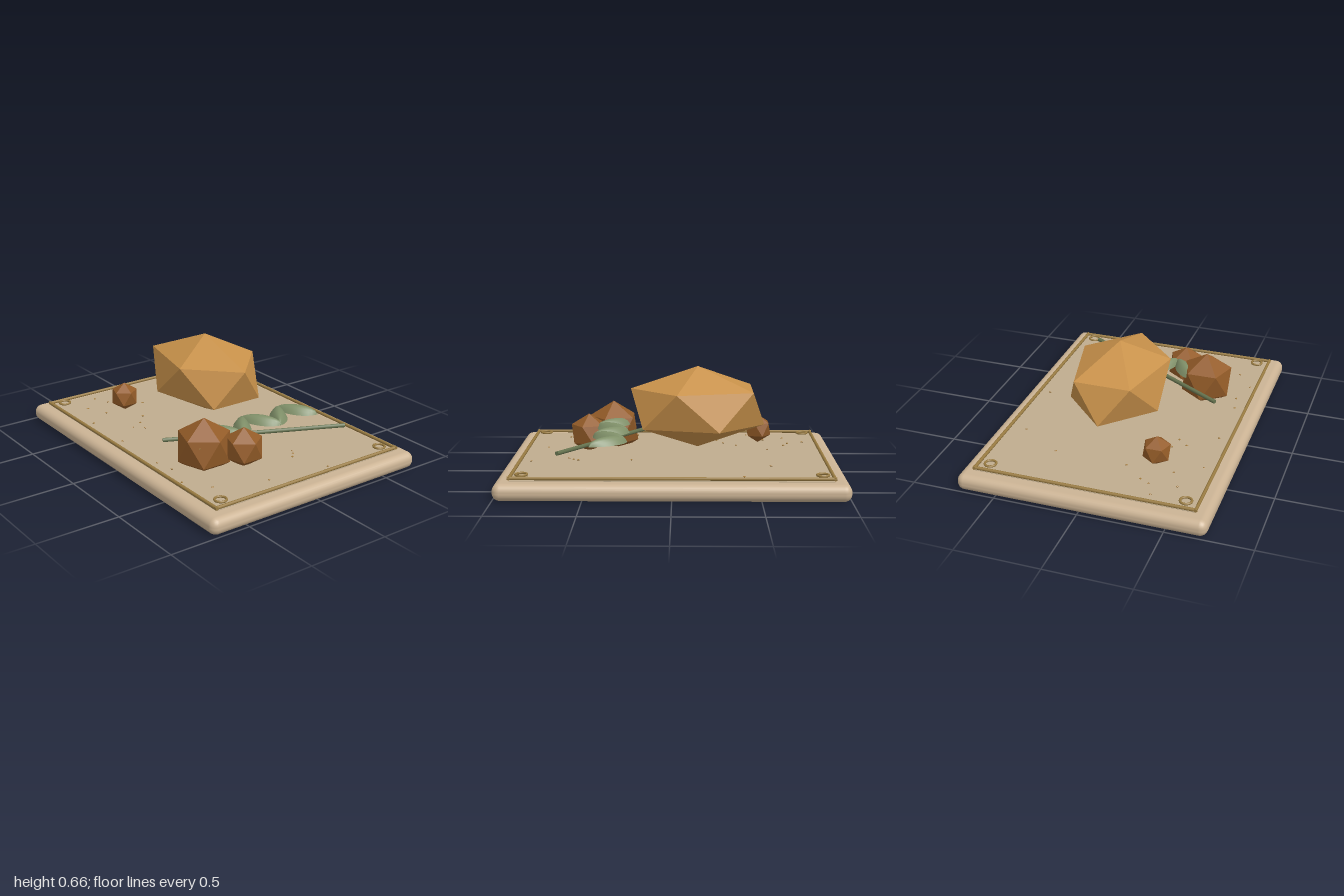
import * as THREE from 'three';
import { RoundedBoxGeometry } from 'three/addons/geometries/RoundedBoxGeometry.js';

const mat = (name, color, extra = {}) => {
  const m = new THREE.MeshStandardMaterial({ color, ...extra });
  m.name = name;
  return m;
};

// Faceted stone: two staggered rings of five corners between a top and a bottom point
function stoneGeometry(rx, ry, rz) {
  const ring = (y, offset) => Array.from({ length: 5 }, (_, i) => {
    const a = (i + offset) * Math.PI * 0.4;
    return [0.894 * rx * Math.cos(a), y * ry, 0.894 * rz * Math.sin(a)];
  });
  const up = ring(0.447, 0), low = ring(-0.447, 0.5);
  const top = [0, ry, 0], bottom = [0, -ry, 0], p = [];
  for (let i = 0; i < 5; i++) {
    const j = (i + 1) % 5;
    p.push(...top, ...up[j], ...up[i]);
    p.push(...up[i], ...up[j], ...low[i]);
    p.push(...low[i], ...up[j], ...low[j]);
    p.push(...bottom, ...low[i], ...low[j]);
  }
  const g = new THREE.BufferGeometry();
  g.setAttribute('position', new THREE.Float32BufferAttribute(p, 3));
  g.computeVertexNormals();
  return g;
}

// Domed leaflet between two quarter-ellipse edges, pointed at opposite corners
function leafletGeometry(w, d, h, side) {
  const g = new THREE.PlaneGeometry(1, 1, 12, 8);
  const p = g.attributes.position;
  for (let i = 0; i < p.count; i++) {
    const t = (p.getX(i) + 0.5) * Math.PI / 2, s = p.getY(i) + 0.5;
    const c = Math.cos(t), n = Math.sin(t);
    const x = THREE.MathUtils.lerp(w / 2 - w * c, -w / 2 + w * n, s);
    const z = THREE.MathUtils.lerp(d / 2 - d * n, -d / 2 + d * c, s);
    const y = h * 4 * s * (1 - s) * Math.sqrt(Math.max(0, Math.sin(2 * t)));
    p.setXYZ(i, x * side, y, z);
  }
  // Keep the domed face pointing upward on both mirrored forms
  if (side > 0) {
    const k = g.index;
    for (let i = 0; i < k.count; i += 3) {
      const a = k.getX(i);
      k.setX(i, k.getX(i + 1));
      k.setX(i + 1, a);
    }
  }
  g.computeVertexNormals();
  return g;
}

export function createModel() {
  const group = new THREE.Group();
  const sand = mat('sand', 0xcbb394);
  const paper = mat('dull sand', 0xbfac8e);
  const brass = mat('brass', 0x9a7c42);
  const amber = mat('amber', 0xc8914a, { flatShading: true });
  const resin = mat('dark resin', 0x945c28, { flatShading: true });
  const leafGreen = mat('leaf green', 0x7f8f68, { side: THREE.DoubleSide });
  const stemGreen = mat('stem green', 0x66734f);
  const grainBrown = mat('grain brown', 0xa07838, { flatShading: true });

  const add = (name, geo, material, x, y, z, parent = group) => {
    const m = new THREE.Mesh(geo, material);
    m.name = name;
    m.position.set(x, y, z);
    parent.add(m);
    return m;
  };

  // Display slab and its inner face
  add('slab', new RoundedBoxGeometry(2, 0.1, 1.47, 3, 0.045), sand, 0, 0.05, 0);
  add('innerFace', new THREE.BoxGeometry(1.82, 0.006, 1.3), paper, 0, 0.1, 0);

  // Raised border
  const border = new THREE.Group();
  border.name = 'border';
  group.add(border);
  for (const s of [-1, 1]) {
    const long = new THREE.CylinderGeometry(0.01, 0.01, 1.84, 8).rotateZ(Math.PI / 2);
    const short = new THREE.CylinderGeometry(0.01, 0.01, 1.32, 8).rotateX(Math.PI / 2);
    add('longRail', long, brass, 0, 0.118, s * 0.652, border);
    add('shortRail', short, brass, s * 0.91, 0.118, 0, border);
  }

  // Corner rings
  const ringGeo = new THREE.TorusGeometry(0.033, 0.007, 8, 24).rotateX(Math.PI / 2);
  for (const x of [-0.85, 0.85]) {
    for (const z of [-0.58, 0.58]) add('cornerRing', ringGeo, brass, x, 0.124, z);
  }

  // Large stone and three small ones
  add('largeStone', stoneGeometry(0.453, 0.2475, 0.322), amber, -0.15, 0.415, -0.037);
  for (const [x, y, z, r] of [
    [0.385, 0.205, 0.355, 0.174],
    [0.53, 0.205, 0.18, 0.123],
    [-0.54, 0.208, 0.315, 0.09],
  ]) add('smallStone', stoneGeometry(r, r, r), resin, x, y, z);

  // Row of alternating leaflets
  const leaf = new THREE.Group();
  leaf.name = 'leaf';
  group.add(leaf);
  for (let i = 0; i < 5; i++) {
    const geo = leafletGeometry(0.215, 0.16, 0.048, i % 2 ? -1 : 1);
    add('leaflet', geo, leafGreen, 0.376, 0.244, -0.338 + i * 0.137, leaf);
  }

  // Leaning stem
  const a = new THREE.Vector3(0.14, 0.185, 0.475), b = new THREE.Vector3(0.66, 0.22, -0.475);
  const stem = new THREE.TubeGeometry(new THREE.LineCurve3(a, b), 1, 0.013, 8);
  add('stem', stem, stemGreen, 0, 0, 0);
  const capGeo = new THREE.CircleGeometry(0.013, 8);
  add('stemEnd', capGeo, stemGreen, a.x, a.y, a.z).lookAt(a.clone().multiplyScalar(2).sub(b));
  add('stemEnd', capGeo, stemGreen, b.x, b.y, b.z).lookAt(b.clone().multiplyScalar(2).sub(a));

  // Scattered grains
  const grains = [
    [-0.41, -0.55], [0.06, -0.59], [-0.58, -0.29], [0.85, -0.18], [0.25, -0.14],
    [0.57, -0.15], [0.6, -0.13], [0.63, -0.1], [-0.59, 0.15], [0.79, 0.2],
    [-0.7, 0.27], [-0.73, 0.33], [-0.83, 0.37], [-0.4, 0.27], [-0.32, 0.34],
    [-0.23, 0.36], [-0.28, 0.42], [-0.58, 0.43], [-0.71, 0.49], [-0.48, 0.58],
    [-0.14, 0.58], [0.24, 0.58], [0.36, 0.56], [0.68, 0.51], [0.53, 0.61],
  ];
  const grainGeo = new THREE.OctahedronGeometry(0.01).scale(1, 0.6, 0.8);
  grains.forEach(([x, z], i) => {
    add('grain', grainGeo, grainBrown, x, 0.106, z).rotation.y = i * 1.3;
  });
  add('grain', grainGeo, grainBrown, 0.48, 0.245, 0.45);

  return group;
}
